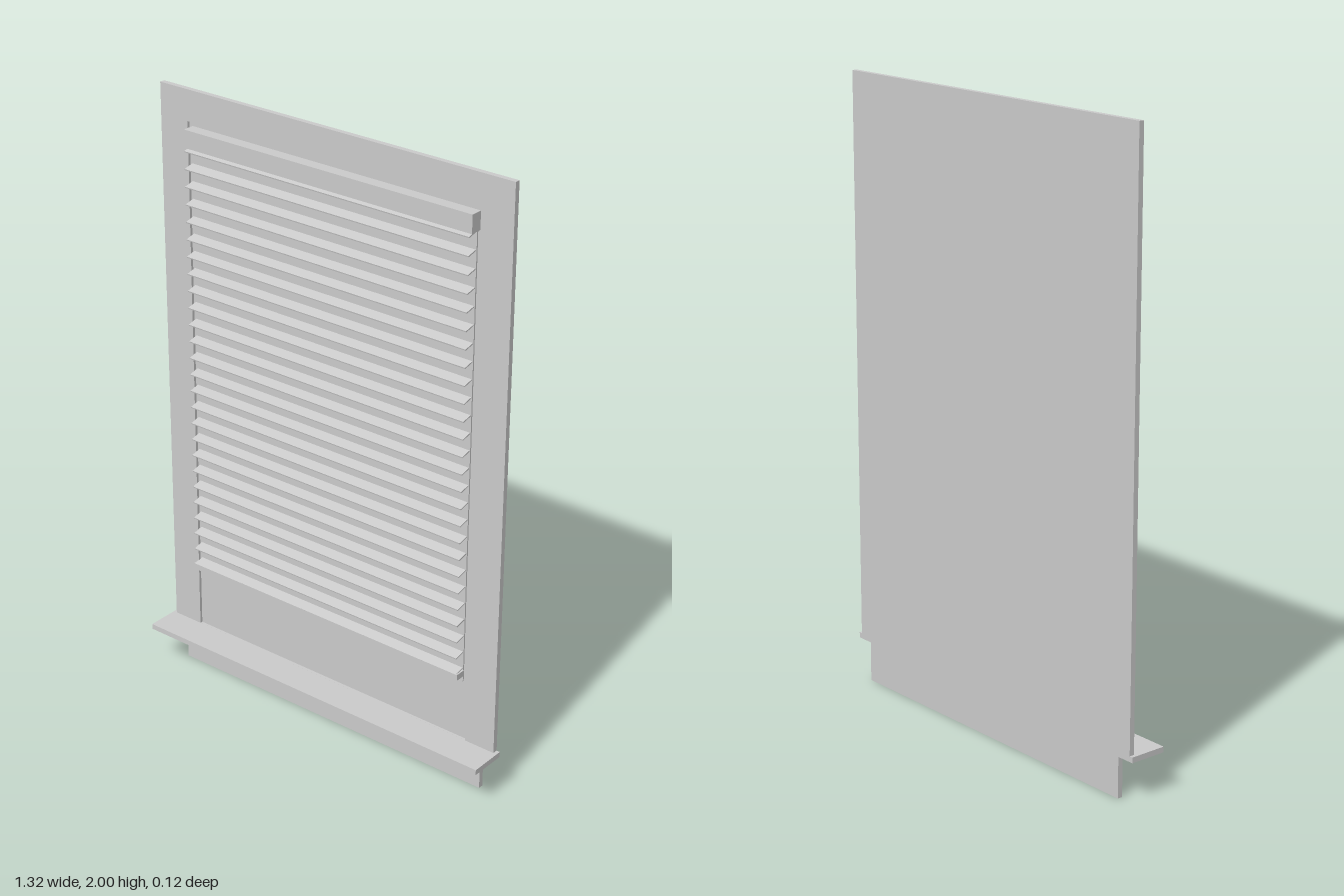
import * as THREE from 'three';

const material = new THREE.MeshStandardMaterial({ color: 0xcccccc, flatShading: true });

// Box given by its extents along each axis, symmetric in x
function box(name, halfWidth, y0, y1, z0, z1) {
  const mesh = new THREE.Mesh(new THREE.BoxGeometry(2 * halfWidth, y1 - y0, z1 - z0), material);
  mesh.name = name;
  mesh.position.set(0, (y0 + y1) / 2, (z0 + z1) / 2);
  return mesh;
}

// Rectangular outline, symmetric in x
function rect(target, w, y0, y1) {
  target.moveTo(-w, y0);
  target.lineTo(w, y0);
  target.lineTo(w, y1);
  target.lineTo(-w, y1);
  target.closePath();
  return target;
}

export function createModel() {
  const group = new THREE.Group();
  group.name = 'windowWithBlind';
  const back = -0.062, front = -0.045;

  // Flat casing around the window opening
  const outline = rect(new THREE.Shape(), 0.648, 0.15, 2);
  outline.holes.push(rect(new THREE.Path(), 0.542, 0.1501, 1.9));
  const casing = new THREE.Mesh(
    new THREE.ExtrudeGeometry(outline, { depth: front - back, bevelEnabled: false }), material);
  casing.name = 'casing';
  casing.position.z = back;
  group.add(casing);

  // Pane filling the opening, flush at the back
  group.add(box('pane', 0.542, 0.15, 1.9, back, -0.054));

  // Sill and the apron below it
  group.add(box('sill', 0.66, 0.132, 0.15, back, 0.062));
  group.add(box('apron', 0.60, 0, 0.132, back, front));

  // Blind: head rail, backing, tilted slats and bottom rail
  const blind = new THREE.Group();
  blind.name = 'blind';
  blind.add(box('headRail', 0.53, 1.827, 1.885, -0.054, -0.015));
  blind.add(box('blindBacking', 0.523, 0.355, 1.83, -0.054, -0.049));
  const slatCount = 26, pitch = 0.0568;
  for (let i = 0; i < slatCount; i++) {
    const y = 1.822 - i * pitch;
    const slat = box('slat', 0.525, y - 0.002, y + 0.002, -0.044, -0.008);
    slat.rotation.x = 0.22;
    blind.add(slat);
  }
  blind.add(box('bottomRail', 0.53, 0.38, 0.4, -0.043, -0.008));
  group.add(blind);

  return group;
}
